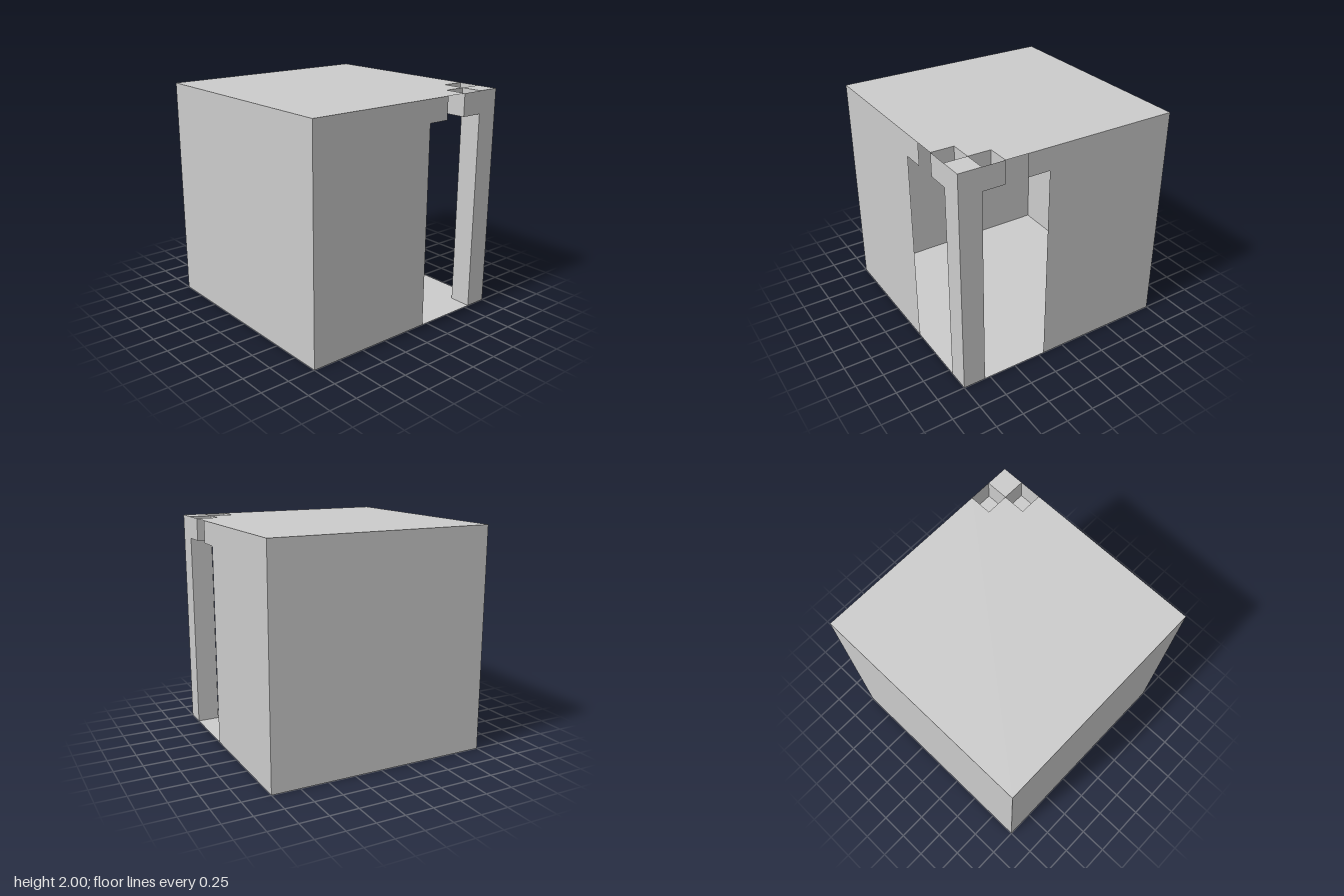
import * as THREE from 'three';

const material = new THREE.MeshStandardMaterial({ color: 0xcccccc, side: THREE.DoubleSide });

const flat = (points) =>
  new THREE.ShapeGeometry(new THREE.Shape(points.map(([u, v]) => new THREE.Vector2(u, v))));

const rect = (u0, u1, v0, v1) => [[u0, v0], [u1, v0], [u1, v1], [u0, v1]];

export function createModel() {
  const model = new THREE.Group();

  const add = (name, geometry) => {
    const mesh = new THREE.Mesh(geometry, material);
    mesh.name = name;
    model.add(mesh);
  };

  // A pair of upright sheets, mirrored across the diagonal through the post:
  // one faces +x (u runs to the back), the other faces -z (u runs to +x).
  const uprightPair = (name, points, offset) => {
    add(name + 'Side', flat(points).rotateY(Math.PI / 2).translate(offset, 0, 0));
    const mirrored = points.map(([u, v]) => [-u, v]);
    add(name + 'Back', flat(mirrored).rotateY(Math.PI).translate(0, 0, -offset));
  };

  // Level sheets: u is x, v runs to the back
  const levelUp = (name, points, y) =>
    add(name, flat(points).rotateX(-Math.PI / 2).translate(0, y, 0));
  const levelDown = (name, points, y) =>
    add(name, flat(points.map(([u, v]) => [u, -v])).rotateX(Math.PI / 2).translate(0, y, 0));

  // Plain walls at the front and on the -x side
  add('frontWall', flat(rect(-1, 1, 0, 2)).translate(0, 0, 1));
  add('plainSideWall', flat(rect(-1, 1, 0, 2)).rotateY(-Math.PI / 2).translate(-1, 0, 0));

  // Walls that stop short of the corner, with a step under the roof
  uprightPair('openWall', [[-1, 0], [0.2, 0], [0.2, 1.8], [0.4, 1.8], [0.4, 2], [-1, 2]], 1);

  // Hollow corner post with a short arm each way: outer and inner sheets
  const postAndArm = [[0.8, 0], [1, 0], [1, 2], [0.6, 2], [0.6, 1.8], [0.8, 1.8]];
  uprightPair('postOuter', postAndArm, 1);
  uprightPair('postInner', postAndArm, 0.8);

  // Arm ends and undersides; the arms are open on top
  uprightPair('armEnd', rect(0.8, 1, 1.8, 2), 0.6);
  levelDown('sideArmBottom', rect(0.8, 1, 0.6, 0.8), 1.8);
  levelDown('backArmBottom', rect(0.6, 0.8, 0.8, 1), 1.8);

  // Roof with a stepped corner, and the cap of the post
  levelUp('roof', [[-1, -1], [1, -1], [1, 0.6], [0.8, 0.6], [0.8, 0.8], [0.6, 0.8], [0.6, 1], [-1, 1]], 2);
  levelUp('postCap', rect(0.8, 1, 0.8, 1), 2);

  // Floor, left open beneath the post
  levelDown('floor', [[-1, -1], [1, -1], [1, 0.8], [0.8, 0.8], [0.8, 1], [-1, 1]], 0);

  return model;
}
